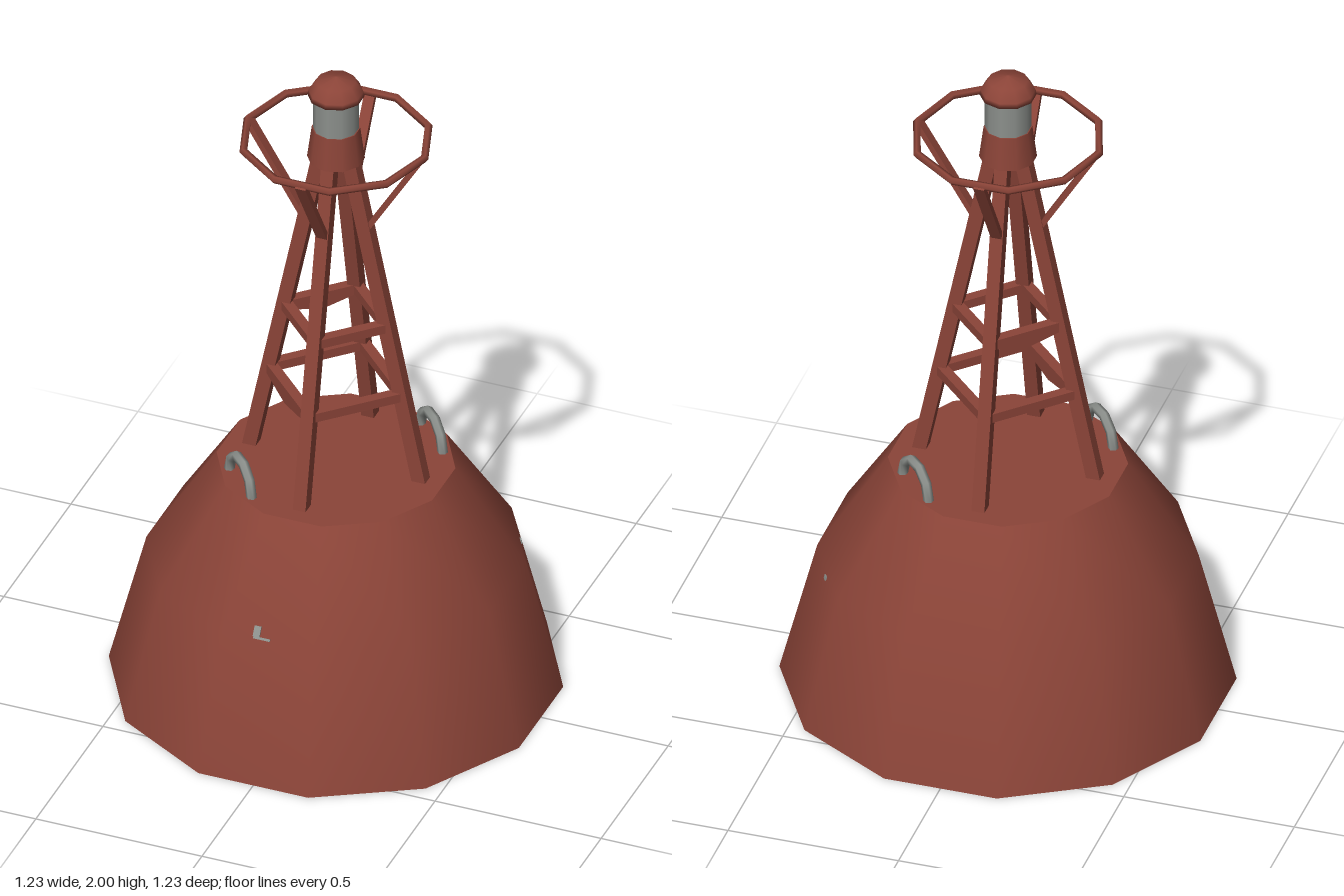
import * as THREE from 'three';

const red = new THREE.MeshStandardMaterial({ color: 0x8b4438, side: THREE.DoubleSide });
red.name = 'rust red paint';
const grey = new THREE.MeshStandardMaterial({ color: 0x8c908c });
grey.name = 'grey metal';

const V = (x, y, z) => new THREE.Vector3(x, y, z);

function add(parent, name, geometry, material) {
  const mesh = new THREE.Mesh(geometry, material);
  mesh.name = name;
  parent.add(mesh);
  return mesh;
}

// Rectangular bar from a to b; dent pulls the middle of its underside down
function beam(parent, name, a, b, width, height, dent = 0) {
  const geo = new THREE.BoxGeometry(width, height, a.distanceTo(b), 1, 1, 2);
  const p = geo.attributes.position;
  for (let i = 0; i < p.count; i++) {
    if (Math.abs(p.getZ(i)) < 1e-4 && p.getY(i) < 0) p.setY(i, p.getY(i) - dent);
  }
  geo.computeVertexNormals();
  const mesh = add(parent, name, geo, red);
  mesh.position.copy(a).add(b).multiplyScalar(0.5);
  mesh.lookAt(b);
  return mesh;
}

function lathe(points, sides, start = 0) {
  return new THREE.LatheGeometry(points.map(([r, y]) => new THREE.Vector2(r, y)), sides, start);
}

export function createModel() {
  const buoy = new THREE.Group();
  buoy.name = 'buoy';

  // Open-bottomed twelve-sided float with a flat deck and a six-sided inner wall
  add(buoy, 'float', lathe([[0.639, 0], [0.533, 0.41], [0.336, 0.71]], 12, Math.PI / 12), red);
  add(buoy, 'innerWall', lathe([[0.612, 0.003], [0.505, 0.41], [0.31, 0.7], [0, 0.7]], 6, Math.PI / 6), red);
  const deck = add(buoy, 'deck', new THREE.CircleGeometry(0.336, 12, Math.PI / 12), red);
  deck.rotation.x = -Math.PI / 2;
  deck.position.y = 0.71;

  // Tower: four leaning legs, ring struts and two levels of braces
  const legRadius = (y) => 0.255 - 0.206 * (y - 0.71);
  const around = (i, r, y) => V(r * Math.cos(i * Math.PI / 2), y, r * Math.sin(i * Math.PI / 2));
  const tower = new THREE.Group();
  tower.name = 'tower';
  buoy.add(tower);
  for (let i = 0; i < 4; i++) {
    beam(tower, 'leg', around(i, legRadius(0.7), 0.7), around(i, legRadius(1.78), 1.78), 0.038, 0.04);
    beam(tower, 'ringStrut', around(i, 0.095, 1.515), around(i, 0.262, 1.79), 0.032, 0.016);
    for (const [y, bent] of [[0.98, 1], [1.2, 2]]) {
      const r = legRadius(y);
      beam(tower, 'brace', around(i, r, y), around(i + 1, r, y), 0.03, 0.028, i === bent ? 0.025 : 0);
    }
  }

  // Ten-sided guard ring
  const ring = add(tower, 'guardRing', new THREE.TorusGeometry(0.266, 0.012, 5, 10), red);
  ring.rotation.x = -Math.PI / 2;
  ring.position.y = 1.79;

  // Lantern: collar, lamp and domed cap
  const lantern = new THREE.Group();
  lantern.name = 'lantern';
  buoy.add(lantern);
  add(lantern, 'collar', new THREE.CylinderGeometry(0.068, 0.081, 0.1, 10), red).position.y = 1.78;
  add(lantern, 'lamp', new THREE.CylinderGeometry(0.065, 0.065, 0.11, 10), grey).position.y = 1.882;
  add(lantern, 'cap', lathe([[0, 1.935], [0.08, 1.937], [0.077, 1.952], [0.056, 1.984], [0, 2]], 10), red);

  // Lifting handles on opposite corners of the deck
  for (const s of [1, -1]) {
    const handle = add(buoy, 'liftingHandle', new THREE.TorusGeometry(0.079, 0.015, 6, 5, Math.PI), grey);
    handle.position.set(0.205 * s, 0.71, -0.205 * s);
    handle.rotation.y = -Math.PI / 4;
  }

  // Small chips of bare metal lying on the float
  const chip = (x, y, z, w, h, turn, lean) => {
    const mesh = add(buoy, 'bareMetalChip', new THREE.BoxGeometry(w, h, 0.008), grey);
    mesh.position.set(x, y, z);
    mesh.rotation.set(lean, turn, 0, 'YXZ');
  };
  chip(-0.035, 0.436, 0.499, 0.02, 0.03, 0, -0.56);
  chip(-0.018, 0.42, 0.508, 0.05, 0.007, 0, -0.56);
  chip(0.45, 0.39, -0.26, 0.015, 0.012, Math.PI * 2 / 3, -0.25);

  return buoy;
}
